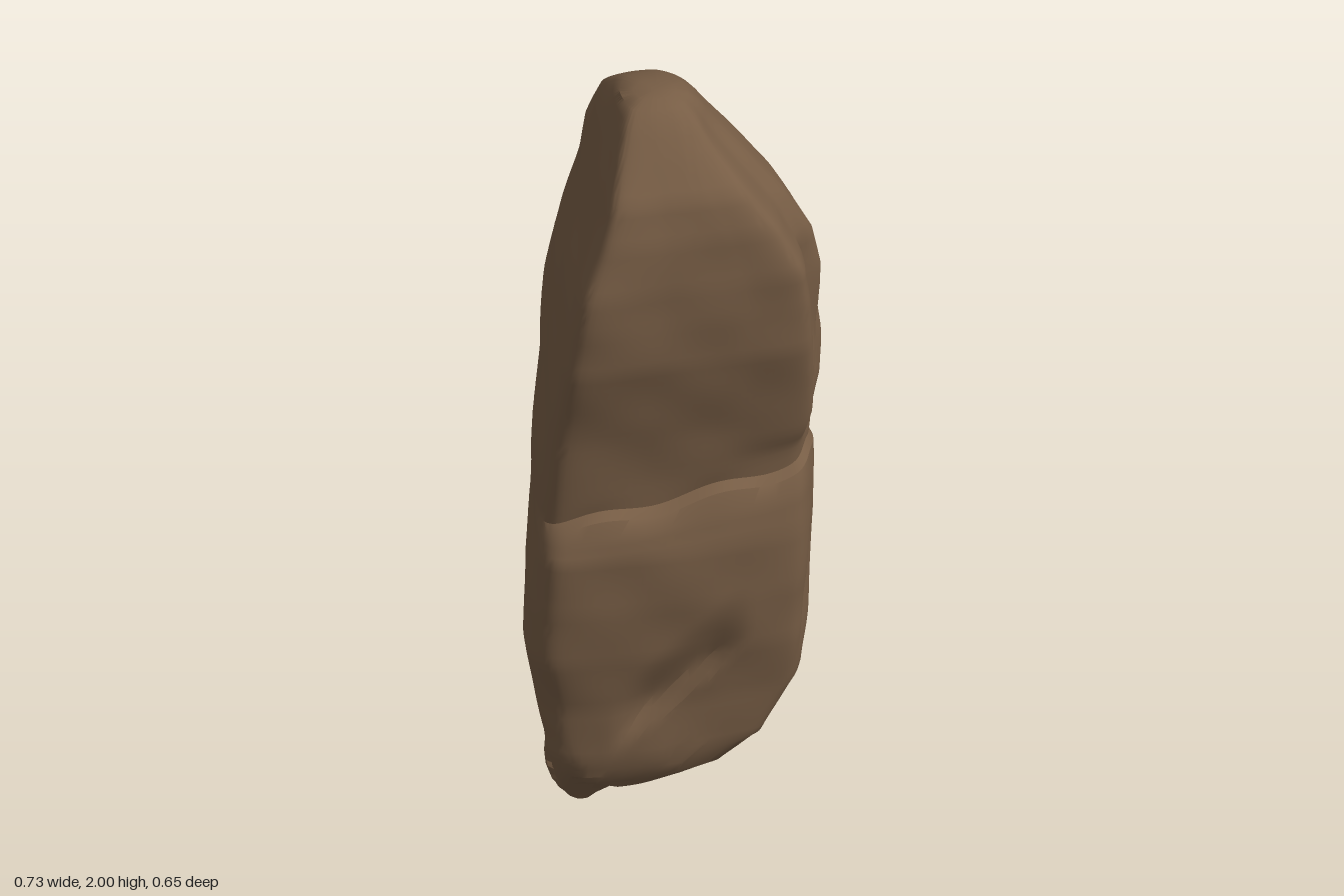
import * as THREE from 'three';
import { toCreasedNormals } from 'three/addons/utils/BufferGeometryUtils.js';

// Ground plans in a -1..1 square (x, z), from the left side round by the front
const FOOT = [[1, 0.15], [0.94, 0.55], [0.78, 0.9], [0.3, 1], [-0.3, 1], [-0.86, 0.92], [-1, 0.6],
  [-0.86, -0.2], [-0.62, -0.85], [-0.3, -1], [0.25, -1], [0.7, -0.76], [0.92, -0.28]];
const LOWER = [[1, 0.15], [0.95, 0.57], [0.79, 0.92], [0.3, 1], [-0.3, 1], [-0.88, 0.93], [-1, 0.6],
  [-0.87, -0.2], [-0.67, -0.87], [-0.3, -1], [0.4, -1], [0.85, -0.76], [0.98, -0.35]];
const UPPER = [[1, 0.24], [0.86, 0.48], [0.77, 0.95], [0.3, 1], [-0.3, 1], [-0.96, 0.99], [-0.99, 0.5],
  [-0.92, -0.2], [-0.75, -0.87], [-0.3, -1], [0.2, -1], [0.58, -0.82], [0.89, -0.36]];
const ROUND = LOWER.map(([u, v]) => [u / Math.hypot(u, v), v / Math.hypot(u, v)]);
const PLANS = [ROUND, FOOT, LOWER, UPPER, ROUND];

// Cross-sections from the ground up: y, xMin, xMax, zMin, zMax, plan (blended between whole numbers)
const SECTIONS = [
  [0.00, -0.24, -0.17, -0.10, 0.01, 0],
  [0.04, -0.275, -0.12, -0.185, 0.04, 0.4],
  [0.10, -0.285, 0.00, -0.22, 0.12, 0.75],
  [0.15, -0.295, 0.15, -0.235, 0.155, 0.9],
  [0.20, -0.305, 0.23, -0.25, 0.17, 1],
  [0.35, -0.335, 0.32, -0.29, 0.185, 1.2],
  [0.50, -0.365, 0.33, -0.315, 0.22, 1.6],
  [0.65, -0.367, 0.335, -0.317, 0.24, 2],
  [0.80, -0.354, 0.34, -0.317, 0.25, 2],
  [0.88, -0.347, 0.343, -0.316, 0.238, 2.05],
  [0.915, -0.343, 0.343, -0.316, 0.222, 2.1],
  [0.93, -0.338, 0.337, -0.316, 0.195, 2.25],
  [1.00, -0.335, 0.342, -0.316, 0.208, 2.35],
  [1.12, -0.327, 0.364, -0.316, 0.235, 2.5],
  [1.25, -0.315, 0.361, -0.312, 0.27, 2.75],
  [1.35, -0.305, 0.353, -0.29, 0.297, 2.95],
  [1.47, -0.288, 0.343, -0.262, 0.312, 3],
  [1.57, -0.27, 0.322, -0.232, 0.32, 3],
  [1.70, -0.235, 0.25, -0.21, 0.318, 3.1],
  [1.80, -0.207, 0.17, -0.195, 0.30, 3.2],
  [1.90, -0.175, 0.09, -0.14, 0.24, 3.4],
  [1.96, -0.15, 0.05, -0.05, 0.2, 3.5],
  [1.985, -0.135, 0.025, 0.0, 0.175, 3.7],
  [2.00, -0.105, -0.005, 0.06, 0.15, 4],
];
const AROUND = 130;

const lerp = THREE.MathUtils.lerp;
const smooth = (a, b, v) => THREE.MathUtils.smoothstep(v, a, b);
const band = (a, b, v, soft) => smooth(a - soft, a + soft, v) * (1 - smooth(b - soft, b + soft, v));

// Gentle uneven swelling of the stone
function ripple(x, y, z) {
  return 0.5 * Math.sin(9 * x + 5 * y + 4 * z + 1) * Math.sin(7 * z - 6 * y + 2)
    + 0.3 * Math.sin(17 * x - 11 * y + 13 * z) * Math.sin(15 * y + 12 * z)
    + 0.2 * Math.sin(31 * z + 23 * x + 19 * y);
}

// Weathering: ledge tilt, hollow, fissures and broken foot
function weather(p) {
  const { x, y, z } = p;
  const front = smooth(0.05, 0.16, z);
  const right = smooth(0.2, 0.28, x);

  const swell = ripple(x, y, z) * 0.007 * band(0.03, 1.97, y, 0.03);
  const len = Math.hypot(x, z) || 1;
  p.x += (x / len) * swell;
  p.z += (z / len) * swell;

  // the ledge climbs towards the left side of the stone
  p.y += 0.15 * x * smooth(-0.1, 0.15, z) * band(0.84, 1.02, y, 0.07);
  p.y += 0.01 * Math.sin(x * 22) * front * band(0.88, 0.95, y, 0.03);

  // hollow that sinks towards a slanting break on the lower front
  const above = y - (0.2 + (x + 0.2) * 0.92);
  p.z -= 0.036 * front * band(-0.13, 0.1, x, 0.05)
    * smooth(-0.025, 0.02, above) * (1 - smooth(0.02, 0.2, above));

  // upright fissures on the left side
  const crack = (zc, lo, hi, w, d) =>
    d * (1 - smooth(0, w, Math.abs(z - zc))) * band(lo, hi, y, 0.08);
  p.x -= right * (crack(0.16, 1.08, 1.55, 0.05, 0.025) + crack(0.07, 1.1, 1.6, 0.03, 0.014)
    + crack(-0.13, 1.1, 1.35, 0.04, 0.008) + crack(0.14, 0.45, 0.75, 0.04, 0.012));

  // layered breaks near the foot
  const step = (Math.sin(38 * z + 9 * x) > 0 ? 0.01 : -0.006) * band(0.04, 0.22, y, 0.03);
  p.y += step * 1.2;
  p.x += step * Math.sign(x);
  return p;
}

// Points round a plan, blended between its two neighbours
function outline(plan) {
  const i = Math.min(PLANS.length - 2, Math.floor(plan)), f = plan - i;
  const pts = PLANS[i].map(([u, v], k) =>
    new THREE.Vector3(lerp(u, PLANS[i + 1][k][0], f), 0, lerp(v, PLANS[i + 1][k][1], f)));
  return new THREE.CatmullRomCurve3(pts, true, 'catmullrom', 0.4).getPoints(AROUND).slice(0, AROUND);
}

function buildStone() {
  // Subdivide between the sections
  const rings = [SECTIONS[0]];
  for (let i = 1; i < SECTIONS.length; i++) {
    const a = SECTIONS[i - 1], b = SECTIONS[i];
    const n = Math.max(1, Math.round((b[0] - a[0]) / 0.025));
    for (let k = 1; k <= n; k++) rings.push(a.map((v, j) => lerp(v, b[j], k / n)));
  }
  const pos = [], index = [];
  for (const [y, x0, x1, z0, z1, plan] of rings) {
    for (const o of outline(plan)) {
      const p = weather(new THREE.Vector3(lerp(x0, x1, (o.x + 1) / 2), y, lerp(z0, z1, (o.z + 1) / 2)));
      pos.push(p.x, THREE.MathUtils.clamp(p.y, 0, 2), p.z);
    }
  }
  for (let j = 0; j < rings.length - 1; j++) {
    for (let i = 0; i < AROUND; i++) {
      const a = j * AROUND + i, b = j * AROUND + (i + 1) % AROUND;
      index.push(a, a + AROUND, b, b, a + AROUND, b + AROUND);
    }
  }
  // Close the foot and the crown
  const foot = pos.length / 3, crown = foot + 1, last = (rings.length - 1) * AROUND;
  pos.push(-0.205, 0, -0.045, -0.055, 2, 0.105);
  for (let i = 0; i < AROUND; i++) {
    const n = (i + 1) % AROUND;
    index.push(foot, i, n, crown, last + n, last + i);
  }
  const geo = new THREE.BufferGeometry();
  geo.setAttribute('position', new THREE.Float32BufferAttribute(pos, 3));
  geo.setIndex(index);
  return toCreasedNormals(geo, 0.6);
}

export function createModel() {
  const group = new THREE.Group();
  group.name = 'standingStone';
  const stone = new THREE.MeshStandardMaterial({ color: 0x775d45 });
  stone.name = 'brown stone';
  const mesh = new THREE.Mesh(buildStone(), stone);
  mesh.name = 'stonePillar';
  group.add(mesh);
  return group;
}
